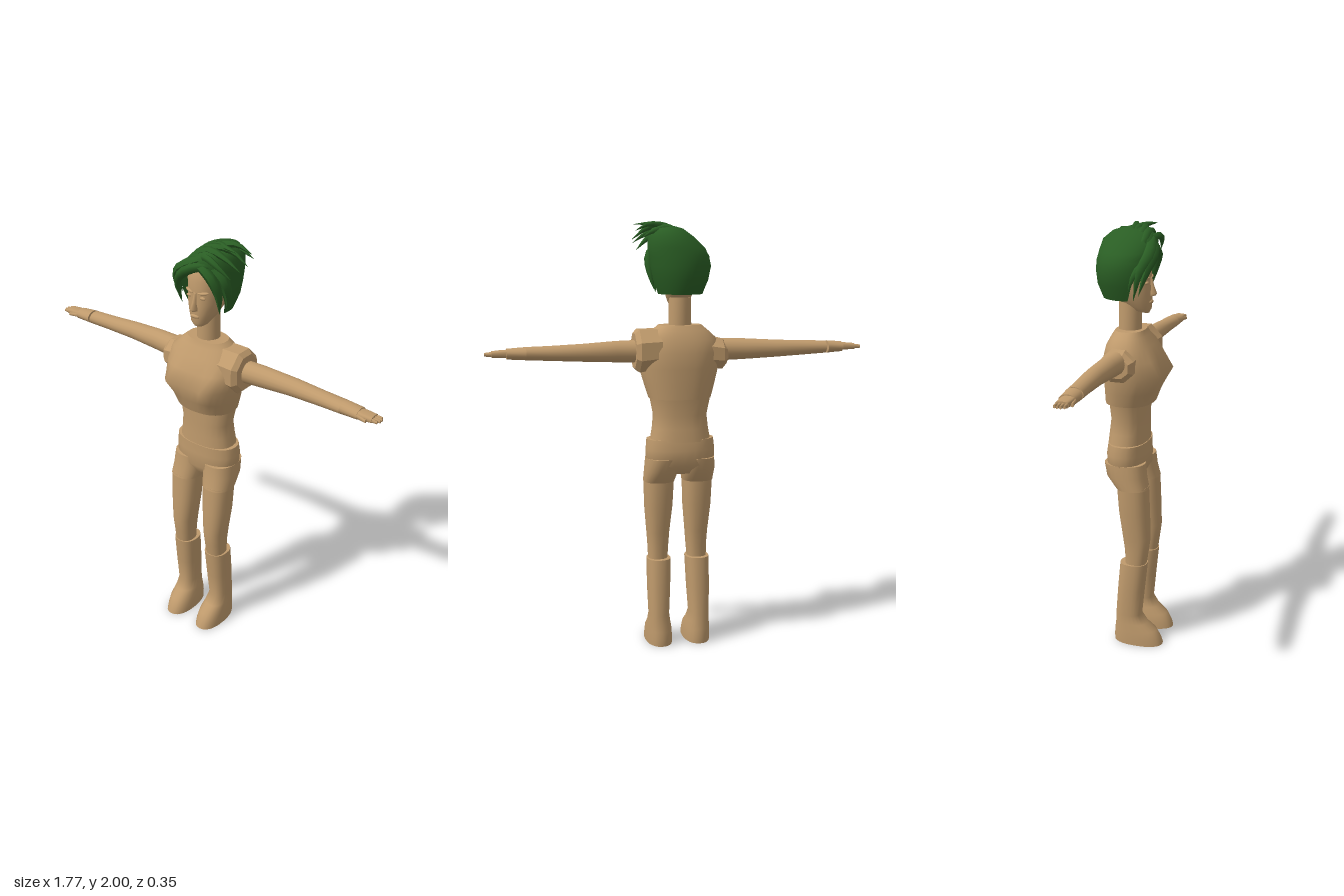
import * as THREE from 'three';

const skin = new THREE.MeshStandardMaterial({ color: 0xbf9a6c });
skin.name = 'skin';
const hairGreen = new THREE.MeshStandardMaterial({ color: 0x2a5e24, side: THREE.DoubleSide });
hairGreen.name = 'hair green';

// Joins rings of points into a surface; closed rings also get end caps.
function skinRings(rings, closed = true) {
  const n = rings[0].length, pos = rings.flat(2), idx = [];
  for (let i = 0; i < rings.length - 1; i++) {
    for (let j = 0; j < (closed ? n : n - 1); j++) {
      const k = (j + 1) % n, a = i * n + j, b = i * n + k, c = a + n, d = b + n;
      idx.push(a, b, d, a, d, c);
    }
  }
  if (closed) [rings[0], rings.at(-1)].forEach((ring, end) => {
    const s = pos.length / 3, mid = [0, 1, 2].map(k => ring.reduce((t, p) => t + p[k], 0) / n);
    pos.push(...ring.flat(), ...mid);
    for (let j = 0; j < n; j++) {
      const k = (j + 1) % n;
      idx.push(s + n, s + (end ? j : k), s + (end ? k : j));
    }
  });
  const g = new THREE.BufferGeometry();
  g.setAttribute('position', new THREE.Float32BufferAttribute(pos, 3));
  g.setIndex(idx);
  g.computeVertexNormals();
  return g;
}

// Rounded cross-sections. Rows: [along, min, max, min, max], the ranges being x, z (axis y) or z, y (axis x).
function loft(rows, { axis = 'y', n = 24, power = 2.3, warp = null, turn = 0 } = {}) {
  const bend = v => Math.sign(v) * Math.abs(v) ** (2 / power);
  return skinRings(rows.map(([t, a0, a1, b0, b1]) => Array.from({ length: n }, (_, j) => {
    const f = (j + turn) / n * Math.PI * 2;
    const a = (a0 + a1) / 2 + (a1 - a0) / 2 * bend(Math.sin(f));
    const b = (b0 + b1) / 2 + (b1 - b0) / 2 * bend(Math.cos(f));
    const p = axis === 'y' ? [a, t, b] : [t, b, a];
    return warp ? warp(...p) : p;
  })));
}

const mirrorX = rows => rows.map(([y, a, b, c, d]) => [y, -b, -a, c, d]);
const outward = (rows, s) => s > 0 ? rows : rows.map(([x, ...r]) => [-x, ...r]).reverse();

// A flattened, tapering lock of hair along a curve
function lock(points, width) {
  const curve = new THREE.CatmullRomCurve3(points.map(p => new THREE.Vector3(...p)));
  const g = new THREE.TubeGeometry(curve, 8, width, 6, false);
  const p = g.attributes.position, c = new THREE.Vector3(), v = new THREE.Vector3();
  for (let i = 0; i < p.count; i++) {
    const t = Math.floor(i / 7) / 8;
    curve.getPointAt(t, c);
    v.fromBufferAttribute(p, i).sub(c).multiplyScalar(Math.sin(Math.PI * (0.3 + 0.7 * t))).add(c);
    p.setXYZ(i, v.x, v.y, v.z);
  }
  g.computeVertexNormals();
  return g;
}

export function createModel() {
  const model = new THREE.Group();
  const add = (name, geometry, material = skin) => {
    const m = new THREE.Mesh(geometry, material);
    m.name = name;
    model.add(m);
    return m;
  };

  // Trunk
  add('chest', loft([
    [1.2, -.145, .145, -.125, .1], [1.26, -.163, .163, -.127, .122], [1.34, -.185, .185, -.13, .148],
    [1.41, -.188, .188, -.13, .128], [1.47, -.175, .175, -.115, .095],
    [1.51, -.13, .13, -.095, .065], [1.535, -.1, .1, -.08, .055],
  ], {
    n: 32,
    warp: (x, y, z) => [x, y, z > 0
      ? z * (1 + .22 * Math.exp(-(((Math.abs(x) - .11) / .04) ** 2) - ((y - 1.34) / .05) ** 2)) : z],
  }));
  add('abdomen', loft([
    [1, -.142, .142, -.112, .072], [1.06, -.132, .132, -.105, .07],
    [1.12, -.126, .126, -.098, .07], [1.2, -.142, .142, -.105, .072],
  ]));
  add('hips', loft([
    [.845, -.12, .12, -.07, .05], [.89, -.162, .162, -.113, .078],
    [.96, -.163, .163, -.115, .075], [1.01, -.158, .158, -.108, .075],
  ]));
  add('neck', loft([[1.52, -.053, .053, -.07, .035], [1.66, -.05, .05, -.07, .035]], { power: 2 }));

  // Legs
  const shorts = [[.8, .02, .166, -.052, .1], [.86, .008, .166, -.1, .086], [.92, .002, .162, -.113, .08]];
  const thigh = [[.41, .05, .141, -.01, .09], [.48, .045, .143, -.012, .1], [.55, .04, .148, -.022, .109],
    [.68, .027, .16, -.04, .104], [.81, .022, .164, -.05, .098]];
  const boot = [[0, .03, .156, -.065, .175], [.03, .03, .156, -.066, .165], [.07, .034, .154, -.063, .143],
    [.105, .042, .15, -.058, .1], [.15, .05, .147, -.056, .07], [.28, .042, .151, -.047, .082],
    [.42, .037, .151, -.035, .096]];
  for (const [side, flip] of [['left', r => r], ['right', mirrorX]]) {
    add(side + 'ShortsLeg', loft(flip(shorts)));
    add(side + 'Thigh', loft(flip(thigh)));
    add(side + 'Boot', loft(flip(boot)));
  }

  // Arms
  const arm = [[.16, -.072, .032, 1.365, 1.47], [.3, -.077, .02, 1.37, 1.467], [.45, -.078, .01, 1.377, 1.458],
    [.6, -.067, .012, 1.384, 1.451], [.705, -.061, .018, 1.389, 1.448]];
  const cuff = [[.705, -.061, .018, 1.389, 1.448], [.79, -.056, .02, 1.394, 1.442]];
  const palm = [[.78, -.042, .014, 1.4, 1.437], [.81, -.046, .017, 1.402, 1.436], [.855, -.044, .012, 1.404, 1.432]];
  for (const s of [1, -1]) {
    const side = s > 0 ? 'left' : 'right';
    const gap = s > 0 ? 0 : .01;
    const along = { axis: 'x', n: 16, power: 2 };
    add(side + 'Arm', loft(outward(arm, s), along));
    add(side + 'Forearm', loft(outward([[cuff[0][0] + gap, ...cuff[0].slice(1)], cuff[1]], s), along));
    add(side + 'Palm', loft(outward(palm, s), { ...along, power: 3 }));
    for (let i = 0; i < 4; i++) {
      const z = -.037 + i * .014, end = .88 + (i === 1 || i === 2 ? .007 : 0);
      add(side + 'Finger', loft(outward([
        [.845, z - .0065, z + .0065, 1.408, 1.428], [end, z - .005, z + .005, 1.41, 1.424]], s), { ...along, n: 8 }));
    }
    add(side + 'Thumb', loft(outward([
      [.79, .005, .02, 1.408, 1.428], [.835, .012, .026, 1.406, 1.422]], s), { ...along, n: 8 }));
  }

  // Faceted shoulder guards, one larger than the other
  const guard = rows => {
    const g = loft(rows, { axis: 'x', n: 8, power: 2, turn: .5 }).toNonIndexed();
    g.computeVertexNormals();
    return g;
  };
  add('leftShoulder', guard([[.1, -.115, .085, 1.33, 1.525], [.195, -.115, .085, 1.315, 1.525],
    [.215, -.095, .065, 1.335, 1.505]]));
  add('rightShoulder', guard([[-.218, -.075, .045, 1.35, 1.45], [-.195, -.1, .065, 1.325, 1.475],
    [-.12, -.1, .07, 1.33, 1.49]]));

  // Head, with the jaw sloping down towards the front
  add('head', loft([
    [1.628, -.034, .034, -.03, .07], [1.645, -.048, .048, -.06, .08], [1.68, -.064, .064, -.095, .083],
    [1.72, -.076, .076, -.12, .083], [1.765, -.081, .081, -.135, .078], [1.82, -.083, .083, -.14, .08],
    [1.88, -.07, .07, -.12, .06], [1.91, -.04, .04, -.07, .03],
  ], { warp: (x, y, z) => [x, y - Math.max(0, 1.72 - y) * z * 2.6, z] }));
  add('nose', loft([[1.69, -.015, .015, .06, .1], [1.7, -.016, .016, .06, .107],
    [1.73, -.01, .01, .06, .095], [1.77, -.008, .008, .06, .084]], { n: 8 }));
  add('lips', new THREE.SphereGeometry(1, 12, 8).scale(.024, .009, .009).translate(0, 1.662, .08));
  for (const s of [1, -1]) {
    const brow = add('brow', new THREE.SphereGeometry(1, 12, 8).scale(.027, .006, .011));
    brow.position.set(s * .037, 1.772, .068);
    brow.rotation.set(0, s * .35, s * .12);
    add('eye', new THREE.SphereGeometry(1, 12, 8).scale(.016, .007, .008)).position.set(s * .035, 1.75, .071);
  }

  // Hair shell, open at the face: [y, centre x, radius x, centre z, radius z, half opening]
  const shell = [
    [1.675, 0, .1, -.025, .115, 1.35], [1.74, 0, .125, -.033, .133, 1.15], [1.8, 0, .137, -.037, .135, .95],
    [1.845, .008, .136, -.037, .134, .6], [1.88, .02, .13, -.035, .13, .02], [1.93, .045, .102, -.03, .125, 0],
    [1.965, .06, .07, -.025, .09, 0], [1.985, .07, .01, -.02, .02, 0],
  ];
  add('hairShell', skinRings(shell.map(([y, cx, rx, cz, rz, open]) => Array.from({ length: 29 }, (_, j) => {
    const f = open + (Math.PI - open) * 2 * j / 28;
    return [cx + rx * Math.sin(f), y, cz + rz * Math.cos(f)];
  })), false), hairGreen);

  // Swept fringe, side locks and loose tips
  [
    [[[.07, 1.91, .07], [-.02, 1.88, .1], [-.09, 1.81, .085], [-.1, 1.7, .05]], .024],
    [[[.04, 1.93, .07], [-.06, 1.88, .085], [-.115, 1.81, .06], [-.11, 1.68, .03]], .026],
    [[[.02, 1.9, .08], [-.06, 1.85, .08], [-.12, 1.8, .04], [-.125, 1.72, .01]], .024],
    [[[.03, 1.9, .085], [.08, 1.87, .085], [.108, 1.79, .06], [.1, 1.68, .035]], .024],
    [[[.08, 1.9, .06], [.125, 1.85, .045], [.13, 1.78, .02], [.115, 1.69, 0]], .024],
    [[[-.03, 1.92, .05], [.05, 1.965, .05], [.13, 1.95, .05], [.21, 1.9, .04]], .018],
    [[[-.02, 1.93, .02], [.06, 1.975, .03], [.14, 1.97, .01], [.22, 1.915, 0]], .018],
    [[[-.01, 1.94, -.02], [.07, 1.975, -.02], [.14, 1.985, -.03], [.21, 1.955, -.04]], .018],
    [[[0, 1.945, 0], [.07, 1.98, 0], [.13, 1.988, .03], [.2, 1.985, .05]], .014],
    [[[.02, 1.93, .06], [.08, 1.945, .09], [.13, 1.92, .09], [.185, 1.87, .07]], .016],
    [[[.02, 1.94, -.07], [.08, 1.965, -.08], [.14, 1.95, -.07], [.19, 1.92, -.08]], .016],
  ].forEach(([points, width]) => add('hairLock', lock(points, width), hairGreen));

  return model;
}
